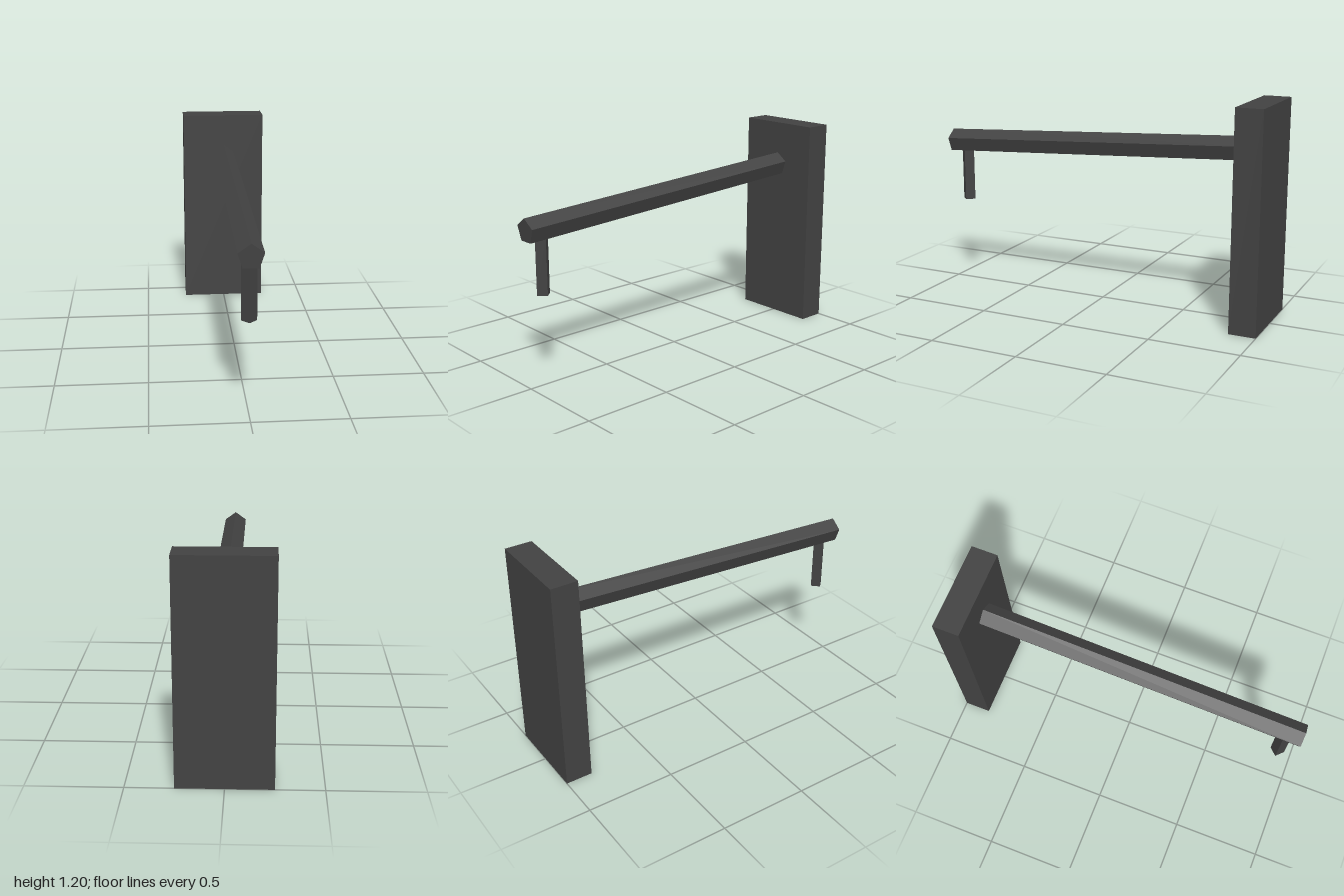
import * as THREE from 'three';

export function createModel() {
  const model = new THREE.Group();
  const darkMetal = new THREE.MeshStandardMaterial({ color: 0x424242, flatShading: true });
  darkMetal.name = 'darkMetal';

  const add = (name, geometry, x, y, z) => {
    const mesh = new THREE.Mesh(geometry, darkMetal);
    mesh.name = name;
    mesh.position.set(x, y, z);
    model.add(mesh);
    return mesh;
  };

  // Upright back plate
  add('backPlate', new THREE.BoxGeometry(0.5, 1.2, 0.15), 0, 0.6, -0.925);

  // Five-sided arm, ridge up, rising slightly into the plate
  const front = new THREE.Vector3(0, 0.852, 0.996);
  const back = new THREE.Vector3(0, 0.95, -0.9);
  const span = back.clone().sub(front);
  const centre = front.clone().add(back).multiplyScalar(0.5);
  const arm = add('arm', new THREE.CylinderGeometry(0.0685, 0.0685, span.length(), 5),
    centre.x, centre.y, centre.z);
  arm.rotation.x = Math.atan2(span.y, -span.z) - Math.PI / 2;

  // Four-sided peg hanging near the tip, corner facing forward
  add('peg', new THREE.CylinderGeometry(0.04, 0.04, 0.33, 4), 0, 0.665, 0.9);

  return model;
}
